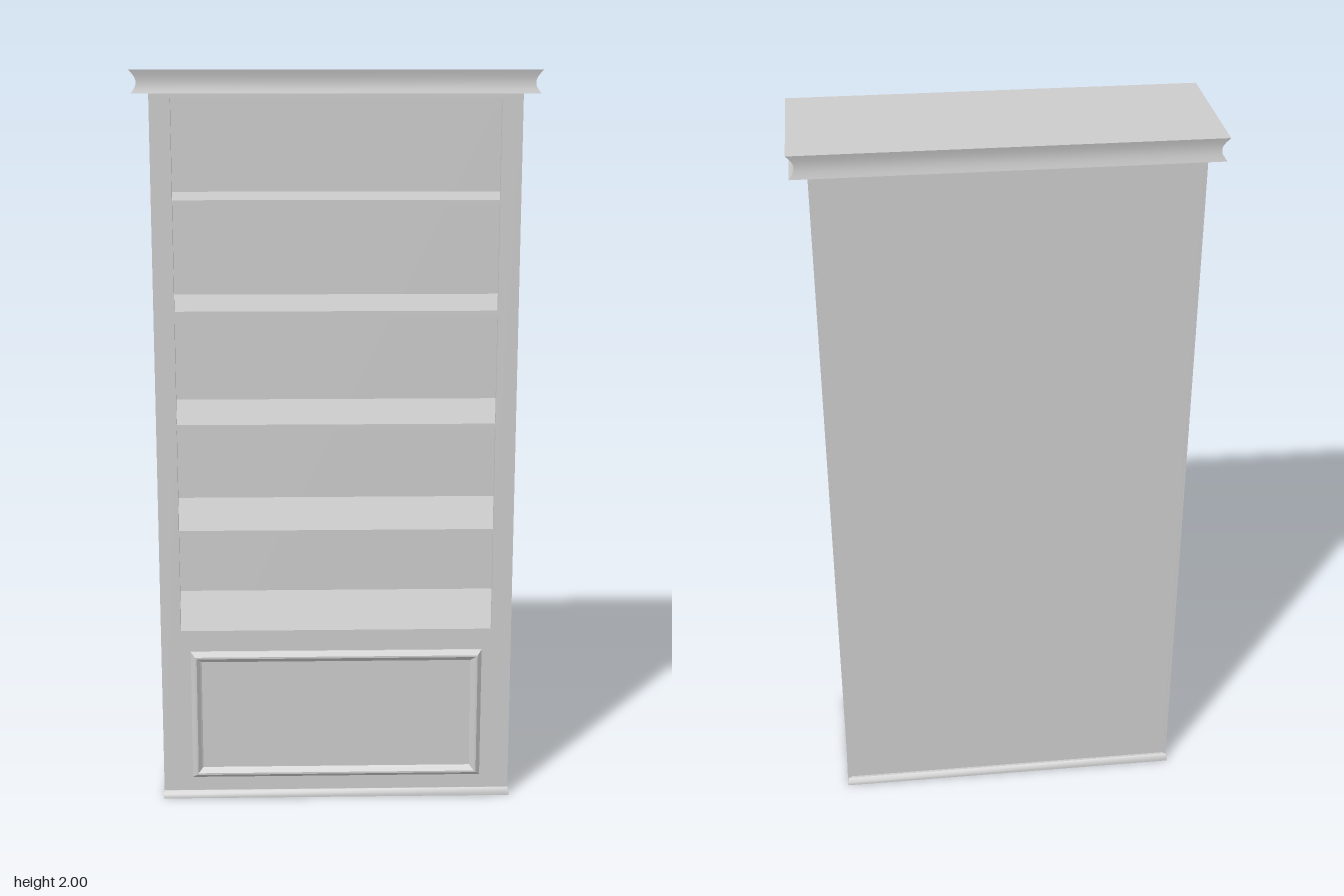
import * as THREE from 'three';

const material = new THREE.MeshStandardMaterial({ color: 0xcccccc });

// Stacks rectangles [halfWidth, halfHeight, z] along z; every side is smooth along its
// profile and sharp at the corners. Both ends can be capped.
function rectLoft(rings, capStart = true, capEnd = true) {
  const pos = [], index = [];
  const corners = [[-1, -1], [1, -1], [1, 1], [-1, 1]];
  const point = ([sx, sy], [w, h, z]) => pos.push(sx * w, sy * h, z);
  for (let s = 0; s < 4; s++) {
    const start = pos.length / 3;
    rings.forEach((ring, i) => {
      point(corners[s], ring);
      point(corners[(s + 1) % 4], ring);
      if (i === 0) return;
      const d = start + 2 * i, a = d - 2;
      index.push(a, a + 1, d + 1, a, d + 1, d);
    });
  }
  const cap = (ring, flip) => {
    const a = pos.length / 3;
    corners.forEach((c) => point(c, ring));
    index.push(...(flip ? [a, a + 2, a + 1, a, a + 3, a + 2] : [a, a + 1, a + 2, a, a + 2, a + 3]));
  };
  if (capStart) cap(rings[0], true);
  if (capEnd) cap(rings[rings.length - 1], false);
  const geometry = new THREE.BufferGeometry();
  geometry.setAttribute('position', new THREE.Float32BufferAttribute(pos, 3));
  geometry.setIndex(index);
  geometry.computeVertexNormals();
  return geometry;
}

function rectangle(PathType, x0, y0, x1, y1) {
  return new PathType([[x0, y0], [x1, y0], [x1, y1], [x0, y1]].map(([x, y]) => new THREE.Vector2(x, y)));
}

export function createModel() {
  const group = new THREE.Group();
  const add = (name, geometry, x = 0, y = 0, z = 0) => {
    const mesh = new THREE.Mesh(geometry, material);
    mesh.name = name;
    mesh.position.set(x, y, z);
    group.add(mesh);
    return mesh;
  };
  // Box given by its lower and upper limits
  const box = (name, x0, x1, y0, y1, z0, z1) => add(name,
    new THREE.BoxGeometry(x1 - x0, y1 - y0, z1 - z0), (x0 + x1) / 2, (y0 + y1) / 2, (z0 + z1) / 2);

  const halfW = 0.484, back = -0.191, front = 0.185, midZ = -0.0035;
  const frameT = 0.012, panelT = 0.007, top = 1.94;
  const shelfTops = [0.49, 0.776, 1.07, 1.376, 1.668];
  const openingTops = [0.763, 1.055, 1.36, 1.655, 1.928];

  // Base plinth with a small bevel
  const base = add('basePlinth', rectLoft([[0.486, 0.2, 0], [0.486, 0.2, 0.012], [halfW, 0.19, 0.02]]), 0, 0, midZ);
  base.rotation.x = -Math.PI / 2;

  // Thin side panels and a slightly recessed back
  for (const s of [-1, 1]) {
    const outer = s * halfW, inner = s * (halfW - panelT);
    box(s > 0 ? 'leftSidePanel' : 'rightSidePanel', Math.min(outer, inner), Math.max(outer, inner),
      0.015, top, back, front - frameT);
  }
  box('backPanel', -halfW + panelT, halfW - panelT, 0.015, top, back + 0.004, back + 0.01);

  // Face frame: stiles, rails and shelf edges around five openings
  const face = rectangle(THREE.Shape, -halfW, 0.015, halfW, top);
  shelfTops.forEach((y, i) => face.holes.push(rectangle(THREE.Path, -0.429, y, 0.429, openingTops[i])));
  add('faceFrame', new THREE.ExtrudeGeometry(face, { depth: frameT, bevelEnabled: false }), 0, 0, front - frameT);

  // Shelves reach the side panels behind the stiles
  shelfTops.forEach((y) => box('shelf', -halfW + panelT, halfW - panelT, y - 0.014, y, back + 0.01, front - frameT));

  // Lower cabinet front: raised moulding around a flat panel
  const doorW = 0.403, doorH = 0.185;
  const moulding = [[0, 0], [0, 0.004], [0.012, 0.0185], [0.017, 0.0185], [0.026, 0.008], [0.03, 0.005]];
  const doorY = 0.246;
  for (let i = 1; i < moulding.length; i++) {
    const rings = [moulding[i - 1], moulding[i]].map(([inset, z]) => [doorW - inset, doorH - inset, z]);
    add('doorMoulding', rectLoft(rings, false, false), 0, doorY, front);
  }
  box('doorPanel', -0.373, 0.373, doorY - 0.155, doorY + 0.155, front - 0.002, front + 0.005);

  // Crown with a hollow cove, deeper at the ends than at front and back
  const crown = [[0.528, 0.1985, 0]];
  for (let i = 1; i <= 10; i++) {
    const t = i / 10, dip = Math.sin(Math.PI * t);
    crown.push([0.528 + 0.005 * t - 0.016 * dip, 0.1985 + 0.0015 * t - 0.005 * dip, 0.06 * t]);
  }
  const cornice = add('crownMoulding', rectLoft(crown), 0, top, midZ);
  cornice.rotation.x = -Math.PI / 2;

  return group;
}
